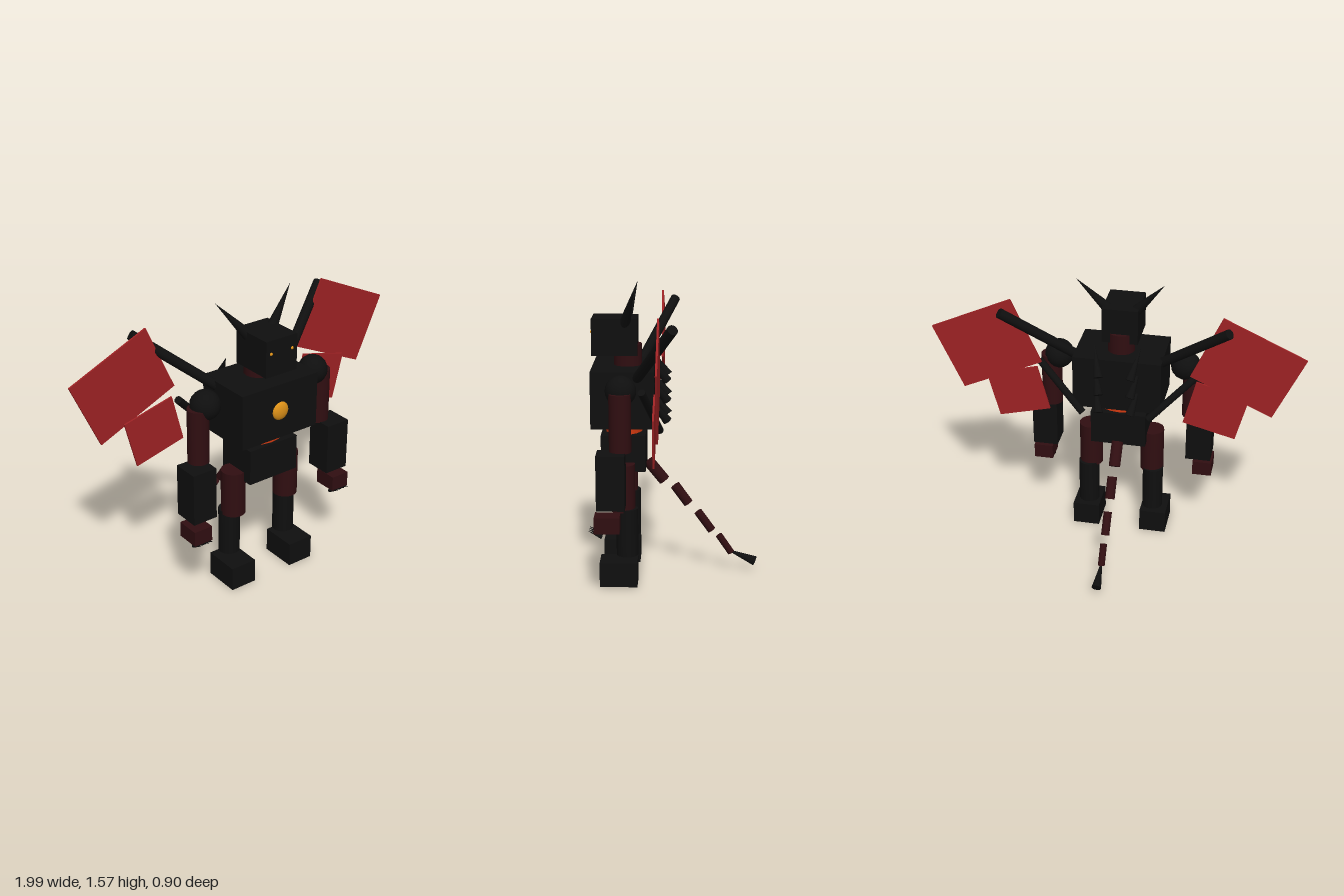
import * as THREE from 'three';

const mat = (name, color) => {
  const m = new THREE.MeshStandardMaterial({ color });
  m.name = name;
  return m;
};

export function createModel() {
  const black = mat('black', 0x0f0f0f);
  const maroon = mat('maroon', 0x300e11);
  const crimson = mat('crimson', 0x9e2224);
  const orange = mat('orange', 0xd63a10);
  const amber = mat('amber', 0xdc9018);

  const model = new THREE.Group();
  model.name = 'wingedRobot';

  const add = (name, geometry, material, x, y, z) => {
    const mesh = new THREE.Mesh(geometry, material);
    mesh.name = name;
    mesh.position.set(x, y, z);
    model.add(mesh);
    return mesh;
  };
  const box = (name, m, w, h, d, x, y, z) =>
    add(name, new THREE.BoxGeometry(w, h, d), m, x, y, z);
  const ball = (name, m, r, x, y, z) =>
    add(name, new THREE.SphereGeometry(r, 16, 12), m, x, y, z);

  // Round bar from point a (radius ra) to point b (radius rb)
  const bar = (name, m, a, b, ra, rb = ra, sides = 16) => {
    const p = new THREE.Vector3(...a), q = new THREE.Vector3(...b);
    const dir = q.clone().sub(p);
    const mesh = add(name, new THREE.CylinderGeometry(rb, ra, dir.length(), sides), m,
      ...p.clone().add(q).multiplyScalar(0.5).toArray());
    mesh.quaternion.setFromUnitVectors(new THREE.Vector3(0, 1, 0), dir.normalize());
    return mesh;
  };

  // Head and torso
  box('head', black, 0.195, 0.195, 0.24, 0, 1.312, 0.317);
  bar('neck', maroon, [0, 1.115, 0.25], [0, 1.267, 0.25], 0.075);
  box('chest', black, 0.48, 0.3, 0.33, 0, 1.005, 0.271);
  bar('abdomen', orange, [0, 0.78, 0.272], [0, 0.88, 0.272], 0.1).scale.x = 1.3;
  box('pelvis', black, 0.305, 0.195, 0.236, 0, 0.702, 0.272);
  ball('chestGem', amber, 0.05, 0, 1.008, 0.435).scale.z = 0.42;

  for (const [s, side] of [[1, 'left'], [-1, 'right']]) {
    // Face
    bar(side + 'Horn', black, [s * 0.055, 1.36, 0.268], [s * 0.235, 1.57, 0.206], 0.034, 0);
    ball(side + 'Eye', amber, 0.009, s * 0.066, 1.338, 0.435);

    // Arm
    ball(side + 'Shoulder', black, 0.08, s * 0.348, 1.08, 0.272);
    bar(side + 'UpperArm', maroon, [s * 0.394, 0.775, 0.274], [s * 0.394, 1.075, 0.274], 0.057);
    box(side + 'Forearm', black, 0.14, 0.285, 0.145, s * 0.438, 0.637, 0.32);
    box(side + 'Hand', maroon, 0.107, 0.083, 0.13, s * 0.46, 0.418, 0.34);
    for (let i = 0; i < 4; i++) {
      const x = s * (0.422 + i * 0.025);
      bar(side + 'Claw', black, [x, 0.355, 0.365], [x, 0.39, 0.437], 0.01, 0, 8);
    }

    // Leg
    bar(side + 'Thigh', maroon, [s * 0.175, 0.4, 0.275], [s * 0.175, 0.655, 0.275], 0.066);
    bar(side + 'Shin', black, [s * 0.185, 0.157, 0.252], [s * 0.185, 0.415, 0.252], 0.058);
    box(side + 'Foot', black, 0.15, 0.133, 0.2, s * 0.195, 0.0665, 0.297);

    // Wing bones and flat membranes
    bar(side + 'UpperWingBone', black, [s * 0.1, 1.02, 0.255], [s * 0.6, 1.43, 0.005], 0.027);
    bar(side + 'LowerWingBone', black, [s * 0.18, 0.835, 0.077], [s * 0.435, 1.09, 0.163], 0.02);
    box(side + 'UpperWing', crimson, 0.481, 0.388, 0.01, s * 0.698, 1.204, 0.075)
      .rotation.z = -s * 0.424;
    box(side + 'LowerWing', crimson, 0.292, 0.262, 0.01, s * 0.54, 0.919, 0.098)
      .rotation.z = -s * 0.25;

    // Back spines, blunt end outward
    for (let i = 0; i < 3; i++) {
      const y = 1.083 - i * 0.108;
      bar(side + 'BackSpine', black, [s * 0.085, y, 0.04], [s * 0.125, y + 0.145, 0.145], 0.026, 0, 12);
    }
  }

  // Tail segments: start y, z, end y, z, radius
  const tail = [
    [0.625, 0.145, 0.517, 0.058, 0.032],
    [0.487, 0, 0.387, -0.072, 0.027],
    [0.338, -0.125, 0.233, -0.2, 0.023],
    [0.204, -0.24, 0.104, -0.308, 0.019],
  ];
  for (const [y0, z0, y1, z1, r] of tail)
    bar('tailSegment', maroon, [0, y0, z0], [0, y1, z1], r);
  bar('tailTip', black, [0, 0.055, -0.438], [0, 0.112, -0.305], 0.026, 0.005);

  return model;
}
